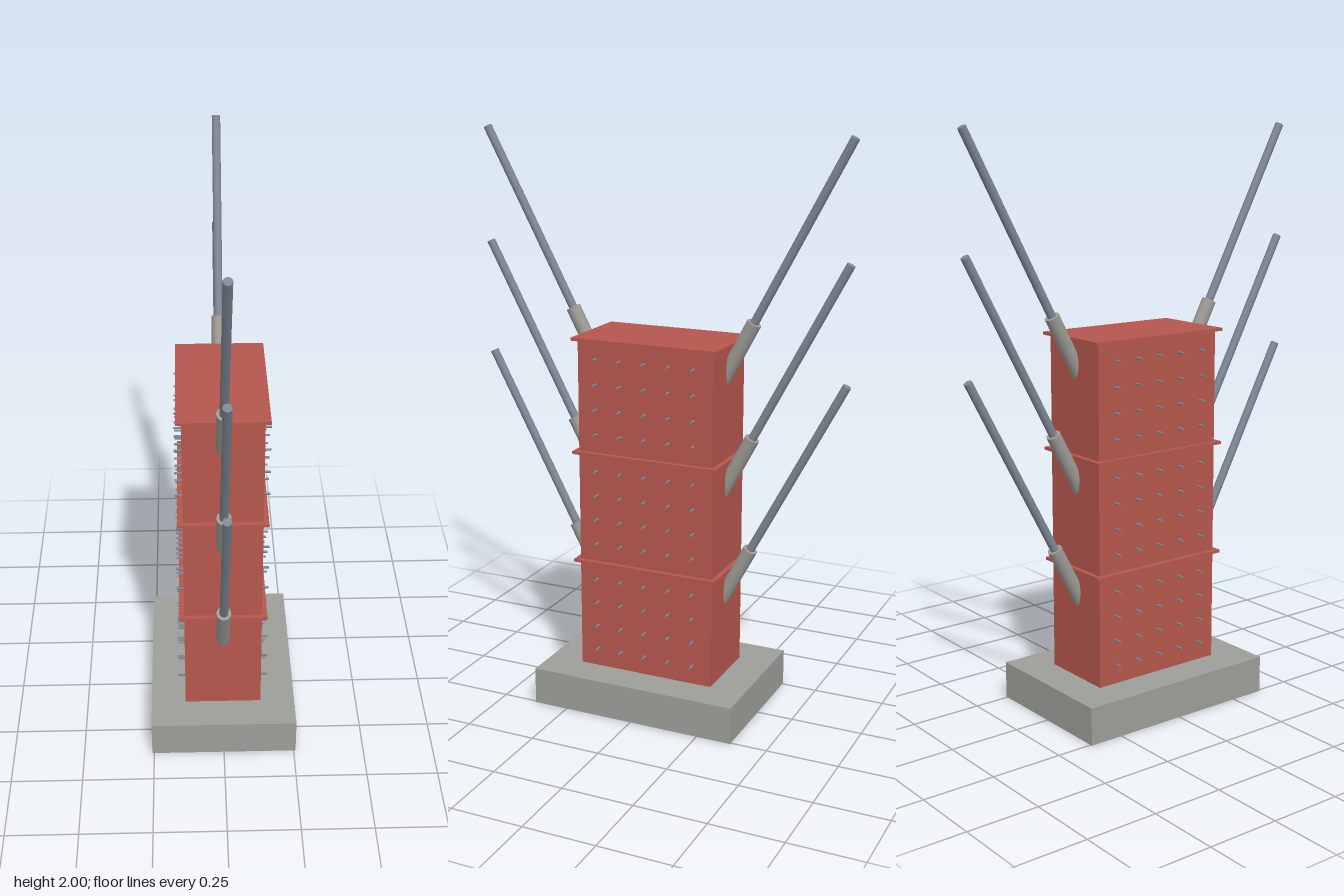
import * as THREE from 'three';

const mat = (name, color) => {
  const m = new THREE.MeshStandardMaterial({ color });
  m.name = name;
  return m;
};

export function createModel() {
  const red = mat('red panel', 0xb5574d);
  const concrete = mat('concrete grey', 0x9d9d99);
  const sleeveGrey = mat('warm grey', 0x9d9a94);
  const steel = mat('blue steel', 0x7d8794);

  const model = new THREE.Group();
  model.name = 'anchorTower';

  const add = (name, geometry, material, x, y, z) => {
    const mesh = new THREE.Mesh(geometry, material);
    mesh.name = name;
    mesh.position.set(x, y, z);
    model.add(mesh);
    return mesh;
  };

  // Cylinder running between two points
  const bar = (name, a, b, radius, material) => {
    const dir = b.clone().sub(a);
    const mid = a.clone().add(b).multiplyScalar(0.5);
    const mesh = add(name, new THREE.CylinderGeometry(radius, radius, dir.length(), 24), material, mid.x, mid.y, mid.z);
    mesh.quaternion.setFromUnitVectors(new THREE.Vector3(0, 1, 0), dir.normalize());
  };

  const baseTop = 0.13, tier = 0.393, tiers = 3;
  const halfX = 0.135, halfZ = 0.248;

  add('base', new THREE.BoxGeometry(0.514, baseTop, 0.746), concrete, 0, baseTop / 2, 0);

  const plateGeo = new THREE.BoxGeometry(0.306, 0.01, 0.532);
  const boxGeo = new THREE.BoxGeometry(halfX * 2, tier, halfZ * 2);
  const studGeo = new THREE.CylinderGeometry(0.004, 0.004, 0.03, 10).rotateZ(Math.PI / 2);

  for (let i = 0; i < tiers; i++) {
    const y0 = baseTop + i * tier;
    const top = y0 + tier;

    // Box segment capped by a thin flange
    add('segment', boxGeo, red, 0, y0 + tier / 2, 0);
    add('flange', plateGeo, red, 0, top - 0.003 + (i === tiers - 1 ? 0.004 : 0), 0);

    // Shear studs on both long sides
    for (const side of [-1, 1])
      for (let row = 0; row < 4; row++)
        for (let col = -2; col <= 2; col++)
          add('stud', studGeo, steel, side * (halfX + 0.01), y0 + 0.068 + row * 0.0873, col * 0.09);

    // Sloping sleeve and cable, front and back
    for (const s of [-1, 1]) {
      const root = new THREE.Vector3(0, top - 0.175, s * 0.2);
      const mouth = new THREE.Vector3(0, top + 0.079, s * 0.335);
      const tip = new THREE.Vector3(0, top + 0.684, s * 0.657);
      bar('sleeve', root, mouth, 0.025, sleeveGrey);
      bar('cable', root, tip, 0.0145, steel);
    }
  }
  return model;
}
